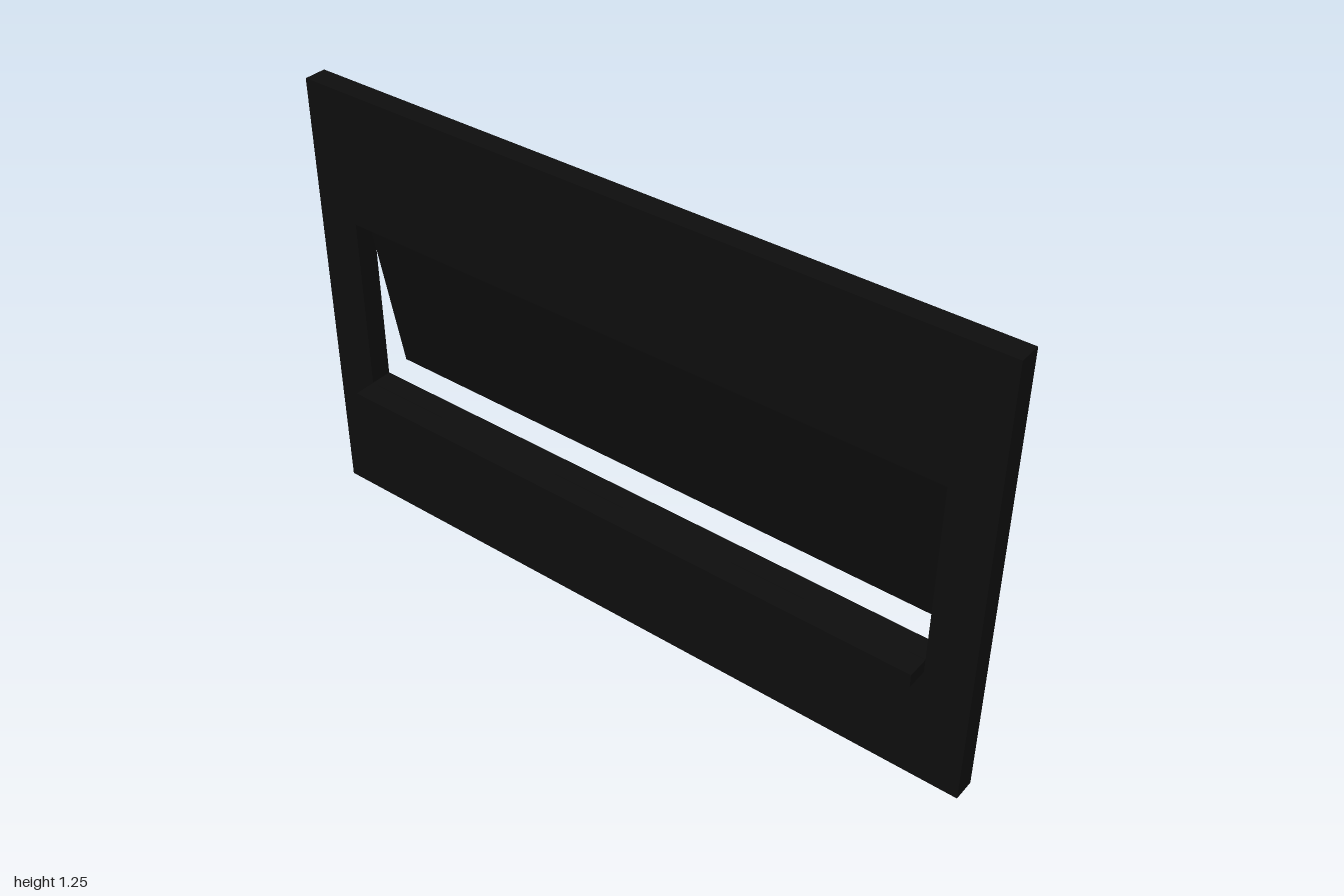
import * as THREE from 'three';

export function createModel() {
  const group = new THREE.Group();
  const black = new THREE.MeshStandardMaterial({ color: 0x0d0d0d });
  black.name = 'black';

  const add = (name, geometry, x, y, z) => {
    const mesh = new THREE.Mesh(geometry, black);
    mesh.name = name;
    mesh.position.set(x, y, z);
    group.add(mesh);
    return mesh;
  };
  const rectangle = (Type, x, y0, y1) => new Type([
    new THREE.Vector2(-x, y0), new THREE.Vector2(x, y0),
    new THREE.Vector2(x, y1), new THREE.Vector2(-x, y1),
  ]);

  // Front plate with the slot opening
  const plate = rectangle(THREE.Shape, 1, 0, 1.25);
  plate.holes.push(rectangle(THREE.Path, 0.875, 0.375, 0.875));
  add('frontPlate', new THREE.ExtrudeGeometry(plate, { depth: 0.0625, bevelEnabled: false }), 0, 0, 0.031);

  // Ledge under the opening
  add('ledge', new THREE.BoxGeometry(1.75, 0.0375, 0.0625), 0, 0.3562, 0.125);

  // Flap hinged at its top edge, swung inward by ten degrees
  const flapGeometry = new THREE.BoxGeometry(1.725, 0.485, 0.025);
  flapGeometry.translate(0, -0.2425, 0);
  add('flap', flapGeometry, 0, 0.874, 0.046).rotation.x = THREE.MathUtils.degToRad(10);

  // Separate panel behind the opening
  add('backPanel', new THREE.BoxGeometry(1.75, 0.5, 0.03), 0, 0.625, -0.141);

  return group;
}
